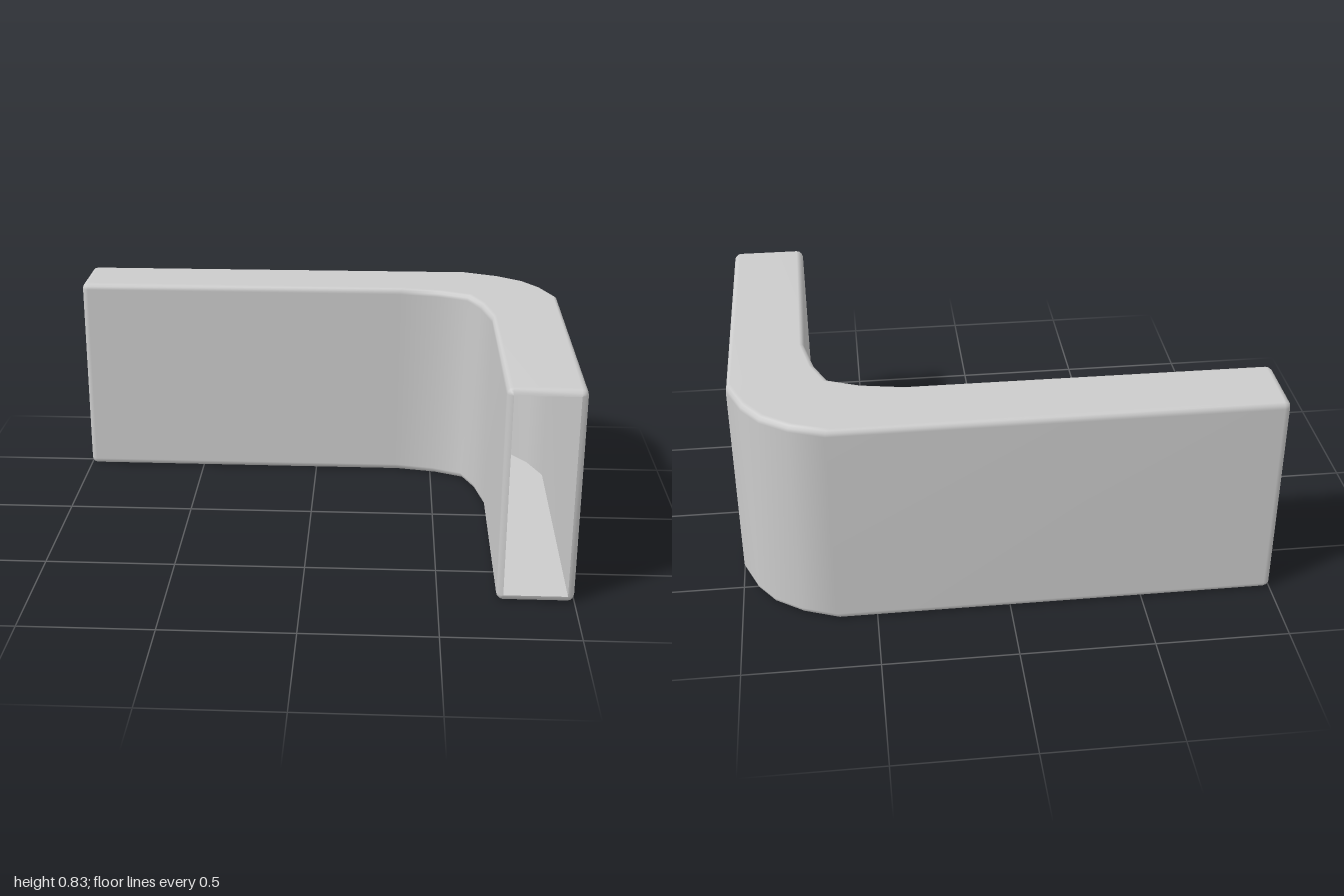
import * as THREE from 'three';

const HEIGHT = 0.83;
const WALL = 0.025; // wall thickness, also the edge rounding radius
const STEPS = 3;    // segments per rounded edge

// Plan stations from the closed end round the bend to the open end:
// [outer x, outer z, inner x, inner z]
const STATIONS = [
  [-1, -0.73, -1, -0.45],
  [0.65, -0.73, 0.35, -0.45],
  [0.78, -0.68, 0.51, -0.42],
  [0.88, -0.61, 0.63, -0.37],
  [0.945, -0.52, 0.68, -0.255],
  [1, -0.385, 0.715, -0.09],
  [1, 0.73, 0.715, 0.73],
];

// Maps section coordinates (u from inner to outer wall, v upwards) into space
function place(station, u, v) {
  const outer = new THREE.Vector2(station[0], station[1]);
  const inner = new THREE.Vector2(station[2], station[3]);
  const p = outer.clone().sub(inner).normalize().multiplyScalar(u).add(inner);
  return new THREE.Vector3(p.x, v, p.y);
}

const widthOf = (s) => Math.hypot(s[0] - s[2], s[1] - s[3]);
const moved = (s, dx, dz) => [s[0] + dx, s[1] + dz, s[2] + dx, s[3] + dz];

// Counter-clockwise rounded rectangle, inset from the station's full size
function roundedLoop(station, inset = 0) {
  const r = WALL - inset;
  const lo = WALL;
  const hiU = widthOf(station) - WALL;
  const hiV = HEIGHT - WALL;
  const corners = [[hiU, lo, -1], [hiU, hiV, 0], [lo, hiV, 1], [lo, lo, 2]];
  const points = [];
  for (const [u, v, quarter] of corners) {
    for (let k = 0; k <= STEPS; k++) {
      const a = (quarter + k / STEPS) * Math.PI / 2;
      points.push(place(station, u + r * Math.cos(a), v + r * Math.sin(a)));
    }
  }
  return points;
}

// Skins rows of points; closed rows wrap round, inward skins are flipped
function skin(rows, closed, inward) {
  const n = rows[0].length;
  const index = [];
  for (let r = 0; r < rows.length - 1; r++) {
    for (let c = 0; c < (closed ? n : n - 1); c++) {
      const a = r * n + c;
      const b = r * n + (c + 1) % n;
      if (inward) index.push(a, a + n, b, b, a + n, b + n);
      else index.push(a, b, a + n, b, b + n, a + n);
    }
  }
  const geometry = new THREE.BufferGeometry().setFromPoints(rows.flat());
  geometry.setIndex(index);
  geometry.computeVertexNormals();
  return geometry;
}

export function createModel() {
  const group = new THREE.Group();
  group.name = 'elbowDuct';
  const material = new THREE.MeshStandardMaterial({ color: 0xcccccc, side: THREE.DoubleSide });
  const add = (name, geometry, parent = group) => {
    const mesh = new THREE.Mesh(geometry, material);
    mesh.name = name;
    parent.add(mesh);
  };

  const first = STATIONS[0];
  const last = STATIONS[STATIONS.length - 1];

  // Outer shell: end cap, rounded end, straight runs and bend, rounded rim
  const startRows = [];
  const endRows = [];
  for (let k = 0; k <= STEPS; k++) {
    const a = (k / STEPS) * Math.PI / 2;
    const inset = WALL * (1 - Math.sin(a));
    const shift = WALL * (1 - Math.cos(a));
    startRows.push(roundedLoop(moved(first, shift, 0), inset));
    endRows.unshift(roundedLoop(moved(last, 0, -shift), inset));
  }
  const capCentre = startRows[0].map(() => place(first, widthOf(first) / 2, HEIGHT / 2));
  const bendRows = STATIONS.slice(1, -1).map((s) => roundedLoop(s));
  add('outerShell', skin([capCentre, ...startRows, ...bendRows, ...endRows], true, false));

  // Cavity: four inner walls with sharp corners, closed at the far end
  const cavity = new THREE.Group();
  cavity.name = 'cavity';
  group.add(cavity);
  const path = [moved(first, WALL, 0), ...STATIONS.slice(1)];
  const cornersOf = (s) => {
    const u = widthOf(s) - WALL;
    const v = HEIGHT - WALL;
    return [[u, WALL], [u, v], [WALL, v], [WALL, WALL]].map((c) => place(s, c[0], c[1]));
  };
  ['outerWall', 'ceiling', 'innerWall', 'floor'].forEach((name, i) => {
    const rows = path.map((s) => {
      const c = cornersOf(s);
      return [c[i], c[(i + 1) % 4]];
    });
    add(name, skin(rows, false, true), cavity);
  });
  const c = cornersOf(path[0]);
  add('endWall', skin([[c[0], c[1]], [c[3], c[2]]], false, true), cavity);

  return group;
}
